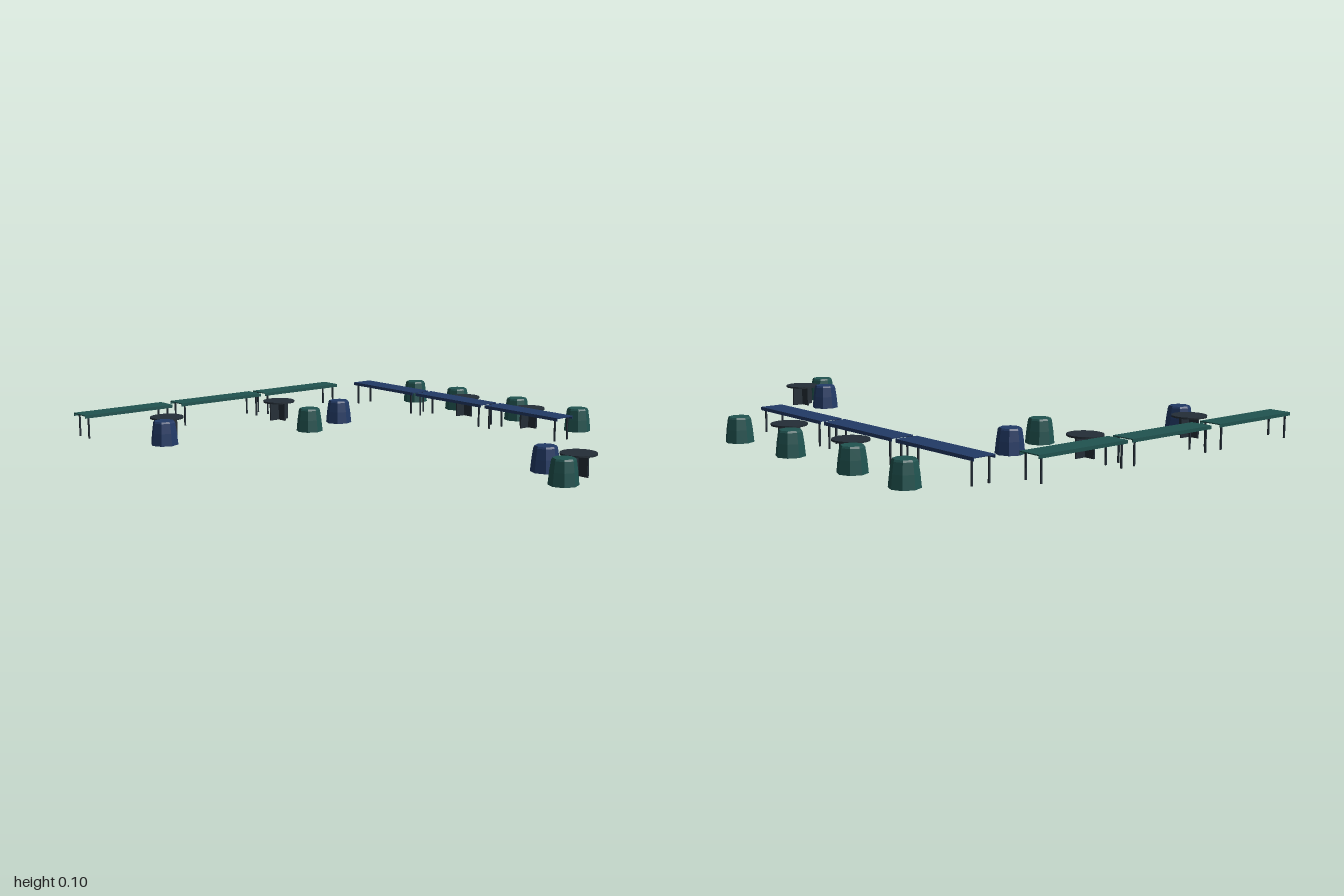
import * as THREE from 'three';

const mat = (name, color, extra = {}) =>
  Object.assign(new THREE.MeshStandardMaterial({ color, ...extra }), { name });

export function createModel() {
  const navy = mat('navy', 0x223a66, { flatShading: true });
  const teal = mat('teal', 0x205350, { flatShading: true });
  const charcoal = mat('charcoal', 0x242e37, { flatShading: true });

  const root = new THREE.Group();
  root.name = 'loungeFurniture';

  const add = (parent, name, geometry, material, x, y, z) => {
    const mesh = new THREE.Mesh(geometry, material);
    mesh.name = name;
    mesh.position.set(x, y, z);
    parent.add(mesh);
    return mesh;
  };
  const group = (name, x, z) => {
    const g = new THREE.Group();
    g.name = name;
    g.position.set(x, 0, z);
    root.add(g);
    return g;
  };

  // Long table: thin top with a lip along each long edge, on four slim legs
  const L = 0.418, W = 0.095, H = 0.1;
  const topGeo = new THREE.BoxGeometry(L, 0.004, W);
  const lipGeo = new THREE.BoxGeometry(L, 0.013, 0.003);
  const legGeo = new THREE.BoxGeometry(0.006, H - 0.004, 0.006);
  function longTable(x, z, material, turn) {
    const g = group('longTable', x, z);
    g.rotation.y = turn;
    add(g, 'tableTop', topGeo, material, 0, H - 0.002, 0);
    for (const s of [-1, 1]) {
      add(g, 'tableLip', lipGeo, material, 0, H - 0.0065, s * (W / 2 - 0.0015));
      for (const e of [-1, 1])
        add(g, 'tableLeg', legGeo, charcoal, e * (L / 2 - 0.02), (H - 0.004) / 2, s * (W / 2 - 0.01));
    }
  }
  for (const x of [-0.686, -0.246, 0.196]) longTable(x, -0.597, navy, 0);
  for (const z of [-0.244, 0.198, 0.663]) longTable(-0.9525, z, teal, Math.PI / 2);

  // Stool: eight-sided tapered seat
  const stoolGeo = new THREE.LatheGeometry([
    [0, 0], [0.056, 0], [0.051, 0.05], [0.045, 0.09], [0.041, 0.097], [0, 0.097],
  ].map(([r, y]) => new THREE.Vector2(r, y)), 8);
  const stools = [
    [teal, [[-0.75, -0.812], [-0.457, -0.812], [-0.077, -0.817], [0.28, -0.817], [-0.465, 0.05], [0.942, 0.006]]],
    [navy, [[-0.546, -0.174], [0.749, -0.109], [-0.607, 0.679]]],
  ];
  for (const [material, spots] of stools)
    for (const [x, z] of spots) add(root, 'stool', stoolGeo, material, x, 0, z);

  // Round table: thin disc on two crossed upright panels
  const discGeo = new THREE.CylinderGeometry(0.069, 0.069, 0.007, 32);
  const panelGeo = new THREE.BoxGeometry(0.095, 0.079, 0.007);
  const roundTables = [[-0.31, -0.715], [0.09, -0.715], [-0.77, -0.012], [-0.74, 0.585], [0.879, -0.143]];
  for (const [x, z] of roundTables) {
    const g = group('roundTable', x, z);
    add(g, 'roundTop', discGeo, charcoal, 0, 0.0825, 0);
    for (const turn of [0, Math.PI / 2])
      add(g, 'crossPanel', panelGeo, charcoal, 0, 0.0395, 0).rotation.y = turn;
  }

  return root;
}
